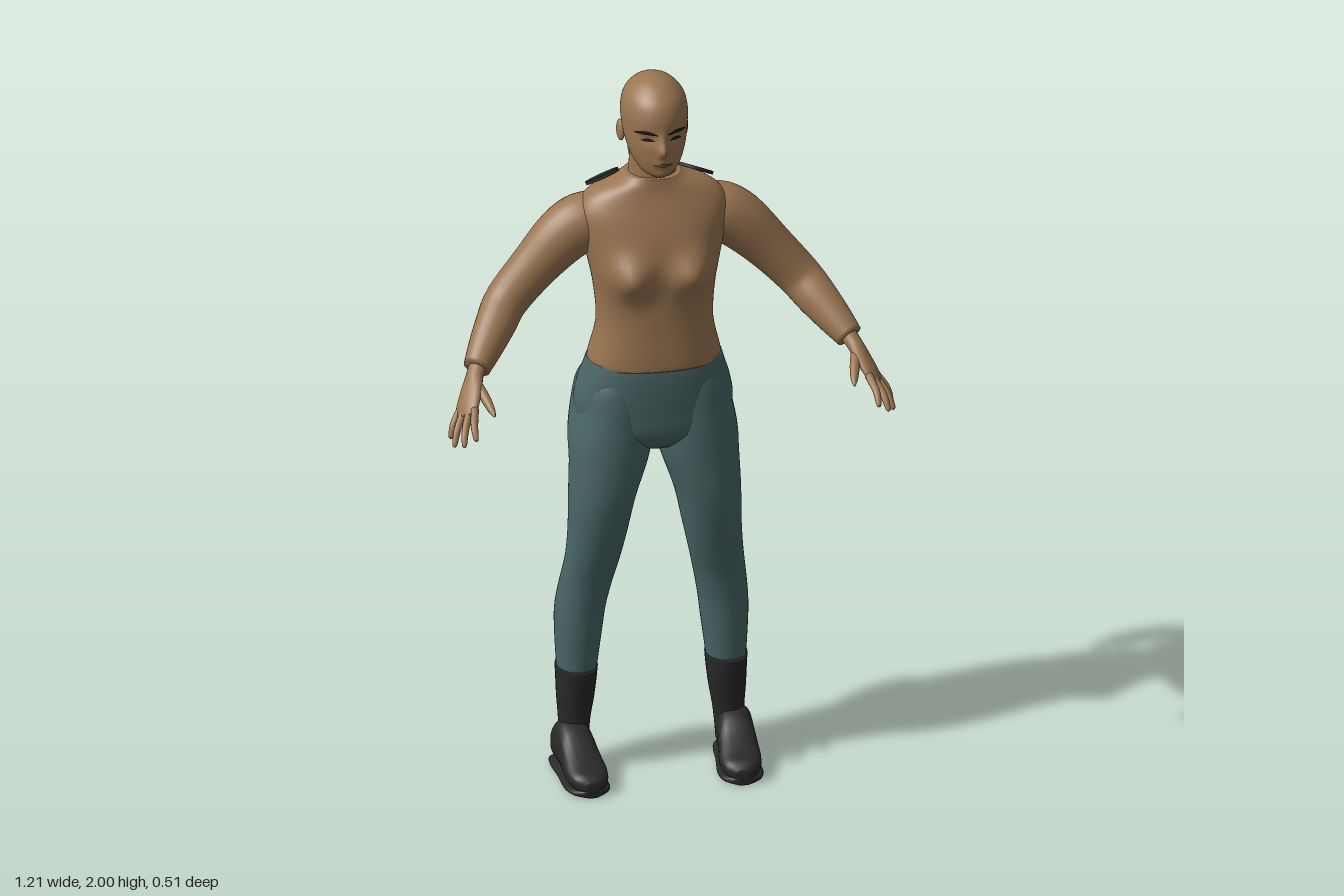
import * as THREE from 'three';

const mat = (name, color) => Object.assign(new THREE.MeshStandardMaterial({ color }), { name });
const V = (x, y, z) => new THREE.Vector3(x, y, z);

// Catmull-Rom value between b and c
const spline = (a, b, c, d, t) => b + 0.5 * t * (c - a + t * (2 * a - 5 * b + 4 * c - d + t * (3 * (b - c) + d - a)));

// Smoothly resample rows of numbers
function resample(keys, steps = 4) {
  const out = [], n = keys.length;
  for (let i = 0; i < n - 1; i++) {
    const a = keys[Math.max(i - 1, 0)], b = keys[i], c = keys[i + 1], d = keys[Math.min(i + 2, n - 1)];
    for (let s = 0; s < steps; s++) out.push(b.map((q, k) => spline(a[k], q, c[k], d[k], s / steps)));
  }
  out.push(keys[n - 1]);
  return out;
}

// Skin a list of closed rings and cap both ends
function loft(rings) {
  const n = rings[0].length, m = rings.length, pos = [], idx = [];
  rings.forEach(r => r.forEach(p => pos.push(p.x, p.y, p.z)));
  for (let j = 0; j < m - 1; j++) for (let i = 0; i < n; i++) {
    const a = j * n + i, b = j * n + (i + 1) % n, c = a + n, d = b + n;
    idx.push(a, c, b, b, c, d);
  }
  [0, m - 1].forEach((j, end) => {
    const mid = rings[j].reduce((s, p) => s.add(p), V(0, 0, 0)).divideScalar(n);
    const k = pos.push(mid.x, mid.y, mid.z) / 3 - 1;
    for (let i = 0; i < n; i++) {
      const a = j * n + i, b = j * n + (i + 1) % n;
      idx.push(...(end ? [k, b, a] : [k, a, b]));
    }
  });
  return indexed(pos, idx);
}

function indexed(pos, idx) {
  const g = new THREE.BufferGeometry();
  g.setAttribute('position', new THREE.Float32BufferAttribute(pos, 3));
  g.setIndex(idx);
  g.computeVertexNormals();
  return g;
}

const angles = n => Array.from({ length: n }, (_, i) => i / n * Math.PI * 2);
const pw = (v, e) => Math.sign(v) * Math.abs(v) ** e;

// Upright body form; key = [y, centre x, half width, front z, back z]
function body(keys, { n = 40, e = 1, shape = null } = {}) {
  return loft(resample(keys).map(([y, x, w, f, b]) => angles(n).map(a => {
    const p = V(x + w * pw(Math.cos(a), e), y, (f + b) / 2 + (f - b) / 2 * pw(Math.sin(a), e));
    if (shape && Math.sin(a) > 0) p.z += shape(p.x, p.y) * Math.min(1, Math.sin(a) * 2);
    return p;
  })));
}

// Limb along a path; key = [x, y, z, radius along side, radius across]
function limb(keys, side = V(0, 0, 1), n = 18, ridge = 0) {
  const rows = resample(keys), pts = rows.map(r => V(r[0], r[1], r[2]));
  return loft(rows.map((r, i) => {
    const t = pts[Math.min(i + 1, pts.length - 1)].clone().sub(pts[Math.max(i - 1, 0)]).normalize();
    const u = side.clone().addScaledVector(t, -side.dot(t)).normalize(), v = u.clone().cross(t);
    return angles(n).map(a => {
      const k = 1 + ridge * Math.cos(a * n / 3 + i * 0.15);
      return pts[i].clone().addScaledVector(u, r[3] * k * Math.cos(a)).addScaledVector(v, r[4] * k * Math.sin(a));
    });
  }));
}

const bump = (x, y, cx, cy, sx, sy) => Math.exp(-(((x - cx) / sx) ** 2) - ((y - cy) / sy) ** 2);

function mirrored(g) {
  const m = g.clone().scale(-1, 1, 1), ix = m.index.array;
  for (let i = 0; i < ix.length; i += 3) [ix[i], ix[i + 1]] = [ix[i + 1], ix[i]];
  return m;
}

const headKeys = [
  [1.742, 0, 0.022, 0.035, -0.02], [1.758, 0, 0.048, 0.05, -0.06], [1.79, 0, 0.068, 0.057, -0.105],
  [1.83, 0, 0.081, 0.058, -0.138], [1.87, 0, 0.087, 0.056, -0.16], [1.91, 0, 0.089, 0.055, -0.17],
  [1.95, 0, 0.08, 0.04, -0.163], [1.98, 0, 0.056, 0.006, -0.135], [1.995, 0, 0.03, -0.025, -0.1],
  [2, 0, 0.006, -0.056, -0.068]];
const face = (x, y) => 0.022 * bump(x, y, 0, 1.828, 0.013, 0.016) + 0.01 * bump(x, y, 0, 1.85, 0.01, 0.025)
  + 0.007 * bump(x, y, 0, 1.79, 0.024, 0.012) + 0.007 * bump(x, y, 0, 1.757, 0.02, 0.012)
  - 0.007 * bump(Math.abs(x), y, 0.036, 1.858, 0.02, 0.013);

// Thin strip lying on the face between two x values
function facePatch(x0, x1, y, halfHeight, arch) {
  const rows = resample(headKeys, 30), cols = 12, pos = [], idx = [];
  for (let i = 0; i <= cols; i++) {
    const t = i / cols, x = x0 + (x1 - x0) * t, h = halfHeight * (0.25 + 0.75 * Math.sin(Math.PI * t));
    for (const s of [-1, 1]) {
      const py = y + arch * Math.sin(Math.PI * t) + s * h;
      const r = rows.reduce((a, b) => (Math.abs(b[0] - py) < Math.abs(a[0] - py) ? b : a));
      const z = (r[3] + r[4]) / 2 + (r[3] - r[4]) / 2 * Math.sqrt(Math.max(0, 1 - (x / r[2]) ** 2));
      pos.push(x, py, z + face(x, py) + 0.004);
    }
    if (i < cols) idx.push(2 * i, 2 * i + 2, 2 * i + 1, 2 * i + 1, 2 * i + 2, 2 * i + 3);
  }
  return indexed(pos, idx);
}

// Shoe form along z; key = [z, half width, height]
const shoeForm = (keys, y0) => loft(resample(keys).map(([z, w, h]) => angles(24).map(a =>
  V(w * pw(Math.cos(a), 0.75), y0 + h / 2 - h / 2 * pw(Math.sin(a), 0.75), z))));

export function createModel() {
  const root = new THREE.Group();
  root.name = 'figure';
  const skin = mat('brown', 0x9a7551), teal = mat('teal cloth', 0x4a6666);
  const black = mat('black leather', 0x29292a), dark = mat('dark hair', 0x1f1a17), lip = mat('lip brown', 0x755039);
  const add = (name, g, m) => {
    const mesh = new THREE.Mesh(g, m);
    mesh.name = name;
    root.add(mesh);
  };
  const pair = (name, g, m) => { add(name + 'Left', g, m); add(name + 'Right', mirrored(g), m); };

  // Head and neck
  add('head', body(headKeys, { n: 96, shape: face }), skin);
  add('neck', body([[1.67, 0, 0.068, -0.015, -0.148], [1.73, 0, 0.063, -0.018, -0.145], [1.81, 0, 0.06, -0.01, -0.14]]), skin);
  pair('ear', new THREE.SphereGeometry(1, 16, 12).scale(0.009, 0.03, 0.018).rotateY(-0.3).rotateX(-0.15).translate(0.087, 1.842, -0.075), skin);
  pair('eyebrow', facePatch(0.014, 0.07, 1.874, 0.0055, 0.005), dark);
  pair('eye', facePatch(0.021, 0.054, 1.856, 0.005, 0.002), dark);
  add('mouth', facePatch(-0.026, 0.026, 1.789, 0.005, 0), lip);

  // Ponytail and its tie
  add('ponytail', limb([[0, 1.912, -0.165, 0.016, 0.016], [0, 1.918, -0.195, 0.02, 0.02], [-0.004, 1.88, -0.212, 0.03, 0.03],
    [-0.006, 1.8, -0.217, 0.033, 0.036], [-0.006, 1.72, -0.216, 0.028, 0.033], [-0.005, 1.65, -0.213, 0.017, 0.02],
    [-0.004, 1.595, -0.212, 0.004, 0.004]], V(1, 0, 0), 36, 0.1), skin);
  add('hairTie', new THREE.TorusGeometry(0.02, 0.008, 8, 20).translate(0, 1.914, -0.178), dark);

  // Fitted top
  const bust = (x, y) => 0.046 * bump(Math.abs(x), y, 0.085, 1.458, 0.055, 0.055);
  add('top', body([[1.185, 0, 0.176, 0.055, -0.178], [1.205, 0, 0.178, 0.056, -0.178], [1.3, 0, 0.157, 0.052, -0.157],
    [1.4, 0, 0.163, 0.05, -0.165], [1.48, 0, 0.178, 0.052, -0.18], [1.55, 0, 0.195, 0.042, -0.19],
    [1.61, 0, 0.205, 0.022, -0.185], [1.65, 0, 0.188, 0.006, -0.175], [1.68, 0, 0.15, -0.004, -0.165],
    [1.703, 0, 0.095, -0.008, -0.157], [1.718, 0, 0.072, -0.01, -0.152]], { n: 64, e: 0.87, shape: bust }), skin);
  pair('sleeve', limb([[0.12, 1.6, -0.1, 0.06, 0.06], [0.18, 1.575, -0.1, 0.076, 0.08], [0.24, 1.54, -0.095, 0.072, 0.078],
    [0.32, 1.46, -0.088, 0.06, 0.066], [0.395, 1.377, -0.075, 0.055, 0.06], [0.435, 1.33, -0.03, 0.05, 0.056],
    [0.475, 1.283, 0.02, 0.042, 0.047], [0.506, 1.246, 0.06, 0.035, 0.037]], V(0, 0, 1), 24), skin);
  pair('shoulderPatch', new THREE.CylinderGeometry(1, 1, 1, 10).scale(0.05, 0.009, 0.032)
    .rotateX(-0.35).rotateZ(-0.38).translate(0.127, 1.69, -0.122), black);

  // Hands
  const spread = V(-0.5, 0.3, 0.8).normalize();
  pair('palm', limb([[0.498, 1.255, 0.05, 0.026, 0.024], [0.515, 1.232, 0.078, 0.026, 0.021], [0.53, 1.205, 0.108, 0.036, 0.019],
    [0.548, 1.172, 0.142, 0.04, 0.016], [0.557, 1.152, 0.162, 0.034, 0.011]], spread), skin);
  [['index', 0.03, 0.547, 1.12, 0.25], ['middle', 0.011, 0.577, 1.098, 0.235], ['ring', -0.01, 0.597, 1.087, 0.202],
    ['little', -0.028, 0.599, 1.095, 0.162]].forEach(([name, s, x, y, z]) => {
    const a = V(0.549, 1.168, 0.146).addScaledVector(spread, s), b = V(x, y, z);
    const m = a.clone().lerp(b, 0.55).add(V(0.004, 0.005, 0.003));
    pair(name + 'Finger', limb([[...a, 0.011, 0.011], [...m, 0.01, 0.01], [...a.clone().lerp(b, 0.93), 0.007, 0.007],
      [...b, 0.002, 0.002]], spread, 10), skin);
  });
  pair('thumb', limb([[0.518, 1.222, 0.095, 0.015, 0.015], [0.503, 1.2, 0.142, 0.014, 0.014],
    [0.492, 1.178, 0.185, 0.01, 0.01], [0.488, 1.168, 0.208, 0.003, 0.003]], V(1, 0, 0), 12), skin);

  // Trousers
  add('hips', body([[0.945, 0, 0.06, 0.01, -0.11], [0.99, 0, 0.19, 0.045, -0.15], [1.06, 0, 0.213, 0.052, -0.19],
    [1.12, 0, 0.205, 0.055, -0.2], [1.165, 0, 0.191, 0.055, -0.186], [1.195, 0, 0.182, 0.052, -0.176]], { n: 56, e: 0.88 }), teal);
  pair('trouserLeg', body([[0.28, 0.203, 0.052, -0.03, -0.16], [0.4, 0.198, 0.063, -0.02, -0.17], [0.47, 0.193, 0.067, -0.015, -0.168],
    [0.55, 0.18, 0.07, -0.005, -0.145], [0.62, 0.167, 0.073, 0.012, -0.126], [0.7, 0.155, 0.079, 0.03, -0.13],
    [0.8, 0.143, 0.089, 0.047, -0.145], [0.9, 0.124, 0.104, 0.05, -0.165], [0.97, 0.115, 0.112, 0.05, -0.202],
    [1.05, 0.106, 0.108, 0.047, -0.231], [1.12, 0.1, 0.099, 0.042, -0.218], [1.175, 0.09, 0.075, 0.03, -0.172]], { e: 0.93 }), teal);

  // Boots
  pair('bootShaft', body([[0.08, 0.212, 0.04, -0.04, -0.135], [0.14, 0.209, 0.043, -0.047, -0.14], [0.2, 0.206, 0.05, -0.038, -0.152],
    [0.25, 0.204, 0.054, -0.03, -0.16], [0.295, 0.203, 0.057, -0.024, -0.166]], { n: 24 }), black);
  const shoe = [[-0.143, 0.024, 0.06], [-0.13, 0.042, 0.1], [-0.085, 0.049, 0.132], [-0.03, 0.05, 0.122],
    [0.02, 0.054, 0.088], [0.07, 0.056, 0.062], [0.11, 0.045, 0.048], [0.13, 0.018, 0.03]];
  const place = g => g.rotateY(-0.08).translate(0.214, 0, 0);
  pair('shoe', place(shoeForm(shoe, 0.012)), black);
  pair('sole', place(shoeForm(shoe.map(([z, w]) => [z, w + 0.005, 0.022]), 0)), black);

  return root;
}
